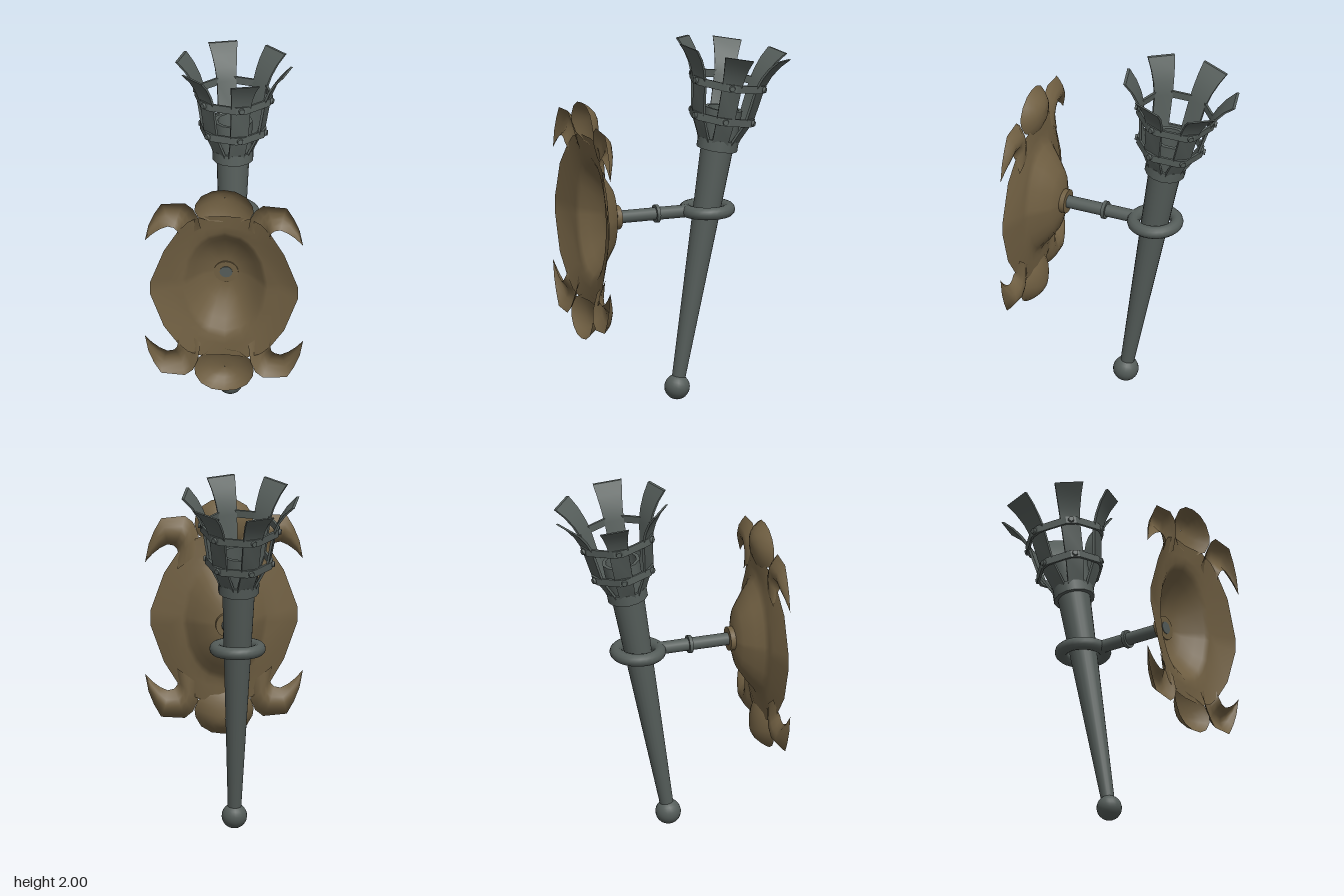
import * as THREE from 'three';
import { toCreasedNormals } from 'three/addons/utils/BufferGeometryUtils.js';

const iron = new THREE.MeshStandardMaterial({ color: 0x555d5a });
iron.name = 'dark iron';
const bronze = new THREE.MeshStandardMaterial({ color: 0x705f42, side: THREE.DoubleSide });
bronze.name = 'aged bronze';

function add(parent, name, geometry, material, x = 0, y = 0, z = 0) {
  const mesh = new THREE.Mesh(geometry, material);
  mesh.name = name;
  mesh.position.set(x, y, z);
  parent.add(mesh);
  return mesh;
}

// Skin a surface over rows of points; either direction may wrap around.
function loft(rows, wrapRow, wrapAll = false) {
  const n = rows[0].length, m = rows.length, index = [];
  for (let i = 0; i < (wrapAll ? m : m - 1); i++) {
    for (let j = 0; j < (wrapRow ? n : n - 1); j++) {
      const a = i * n + j, b = i * n + (j + 1) % n;
      const c = ((i + 1) % m) * n + j, d = ((i + 1) % m) * n + (j + 1) % n;
      index.push(a, b, c, b, d, c);
    }
  }
  const g = new THREE.BufferGeometry();
  g.setAttribute('position', new THREE.Float32BufferAttribute(rows.flat(2), 3));
  g.setIndex(index);
  g.computeVertexNormals();
  return g;
}

const mix = THREE.MathUtils.lerp;
const PLATE_Y = 1.056;

// Domed centre of the wall plate: rings from the rod out to the rim
function plateBody() {
  const quarter = [[0.405, 0.04, 0.6], [0.33, 0.25, 0.6], [0.255, 0.37, 0.585],
    [0.2, 0.43, 0.575], [0.13, 0.46, 0.565]];
  const upper = [...quarter, [0, 0.46, 0.55],
    ...quarter.map(([x, y, z]) => [-x, y, z]).reverse()];
  const rim = [...upper, ...upper.map(([x, y, z]) => [x, -y, z]).reverse()];
  const dome = [[0.1, 0.41], [0.28, 0.412], [0.52, 0.435], [0.76, 0.49], [0.9, 0.528], [1, 0.547]];
  const ellipse = ([x, y]) => {
    const k = 1 / Math.hypot(x / 0.235, y / 0.35);
    return [x * k, y * k];
  };
  const rows = dome.map(([f, z]) => rim.map(p => [...ellipse(p).map(c => c * f), z]));
  rows.push(rim.map(p => {
    const [x, y] = ellipse(p);
    return [mix(x, p[0], 0.35), mix(y, p[1], 0.35), 0.55];
  }));
  rows.push(rim);
  return loft(rows, true);
}

// Rounded lobe at the top and bottom of the plate
function plateLobe() {
  const half = [[0, 0.665, 0.6], [0.068, 0.655, 0.6], [0.125, 0.62, 0.6], [0.157, 0.565, 0.6],
    [0.163, 0.52, 0.595], [0.143, 0.465, 0.58], [0.08, 0.43, 0.557], [0, 0.42, 0.55]];
  const rim = [...half, ...half.slice(1, -1).map(([x, y, z]) => [-x, y, z]).reverse()];
  const rows = [0.01, 0.3, 0.55, 0.75, 0.9, 1].map(t =>
    rim.map(([x, y, z]) => [x * t, mix(0.56, y, t), mix(0.518, z, t ** 2.4)]));
  return loft(rows, true);
}

// Curling horn: outer edge, inner edge, ridge depth, edge depth
function plateHorn() {
  const stations = [
    [0.13, 0.38, 0.26, 0.28, 0.553, 0.56], [0.145, 0.475, 0.252, 0.36, 0.548, 0.59],
    [0.172, 0.535, 0.258, 0.385, 0.546, 0.6], [0.215, 0.57, 0.275, 0.404, 0.546, 0.6],
    [0.345, 0.56, 0.31, 0.412, 0.55, 0.6], [0.385, 0.49, 0.352, 0.392, 0.56, 0.6],
    [0.415, 0.415, 0.393, 0.36, 0.578, 0.6], [0.434, 0.315, 0.434, 0.315, 0.6, 0.6]];
  const rows = stations.map(([ax, ay, bx, by, ridge, edge]) =>
    [0, 0.12, 0.3, 0.5, 0.7, 0.88, 1].map(t =>
      [mix(ax, bx, t), mix(ay, by, t), mix(edge, ridge, Math.sin(Math.PI * t))]));
  return loft(rows, false);
}

// Flared basket slat: height, radius, half width
function slatGeometry() {
  const t = 0.014;
  const stations = [[1.37, 0.098, 0.045], [1.41, 0.112, 0.045], [1.524, 0.168, 0.05],
    [1.72, 0.2, 0.054], [1.79, 0.228, 0.06], [1.85, 0.265, 0.069], [1.904, 0.314, 0.08]];
  const rows = stations.map(([y, r, w]) =>
    [[-w, y, r], [w, y, r], [w, y, r - t], [-w, y, r - t]]);
  const cap = ([y, r]) => Array.from({ length: 4 }, () => [0, y, r - t / 2]);
  rows.unshift(cap(stations[0]));
  rows.push(cap(stations[stations.length - 1]));
  return toCreasedNormals(loft(rows, true), 0.5);
}

const SLATS = Array.from({ length: 6 }, (_, i) => THREE.MathUtils.degToRad(15 + 60 * i));

// Six-sided hoop with its corners blunted where it meets the slats
function hoopGeometry(radius, height) {
  const h = height / 2, inner = radius - 0.014;
  const rows = SLATS.flatMap(a => [a - 0.13, a + 0.13]).map(a =>
    [[radius, h], [radius, -h], [inner, -h], [inner, h]].map(([r, y]) =>
      [r * Math.sin(a), y, r * Math.cos(a)]));
  return toCreasedNormals(loft(rows, true, true), 0.3);
}

const lathe = (points, sides) => toCreasedNormals(
  new THREE.LatheGeometry(points.map(p => new THREE.Vector2(...p)), sides), 0.6);

export function createModel() {
  const model = new THREE.Group();
  model.name = 'wallTorch';

  // Wall plate
  const plate = new THREE.Group();
  plate.name = 'wallPlate';
  plate.position.y = PLATE_Y;
  model.add(plate);
  add(plate, 'plateDome', plateBody(), bronze);
  const lobe = plateLobe(), horn = plateHorn();
  for (const sy of [1, -1]) {
    add(plate, 'plateLobe', lobe, bronze).scale.y = sy;
    for (const sx of [1, -1]) add(plate, 'plateHorn', horn, bronze).scale.set(sx, sy, 1);
  }

  // Bracket: flange, rod, rod collar and holding ring
  const bracket = new THREE.Group();
  bracket.name = 'bracket';
  bracket.position.y = PLATE_Y;
  model.add(bracket);
  const along = (name, r, z0, z1, material) => {
    const g = new THREE.CylinderGeometry(r, r, z1 - z0, 20);
    add(bracket, name, g.rotateX(Math.PI / 2), material, 0, 0, (z0 + z1) / 2);
  };
  along('flange', 0.067, 0.383, 0.418, bronze);
  along('rod', 0.035, -0.02, 0.421, iron);
  along('rodCollar', 0.05, 0.152, 0.172, iron);
  const ring = new THREE.TorusGeometry(0.12, 0.035, 12, 28).rotateX(Math.PI / 2);
  add(bracket, 'holdingRing', ring, iron, 0, 0, -0.135);

  // Torch, leaning away from the wall
  const torch = new THREE.Group();
  torch.name = 'torch';
  torch.position.set(0, 0.07, 0.04);
  torch.rotation.x = THREE.MathUtils.degToRad(-10);
  model.add(torch);
  add(torch, 'pommel', new THREE.SphereGeometry(0.07, 20, 14), iron);
  add(torch, 'handle', new THREE.CylinderGeometry(0.09, 0.037, 1.3, 20), iron, 0, 0.7, 0);
  add(torch, 'handleCollar', new THREE.CylinderGeometry(0.113, 0.113, 0.06, 14), iron, 0, 1.371, 0);
  add(torch, 'fuelCup', lathe([[0.1, 1.38], [0.106, 1.57], [0.086, 1.57], [0.084, 1.45], [0, 1.45]], 12), iron);

  // Basket of slats, hoops and rivets
  const slat = slatGeometry();
  for (const a of SLATS) add(torch, 'basketSlat', slat, iron).rotation.y = a;
  const rivet = new THREE.CylinderGeometry(0.015, 0.019, 0.022, 10).rotateX(Math.PI / 2);
  for (const [y, r] of [[1.524, 0.186], [1.72, 0.219]]) {
    add(torch, 'basketHoop', hoopGeometry(r, 0.042), iron, 0, y, 0);
    for (const a of SLATS) {
      add(torch, 'rivet', rivet, iron, r * Math.sin(a), y, r * Math.cos(a)).rotation.y = a;
    }
  }
  return model;
}
